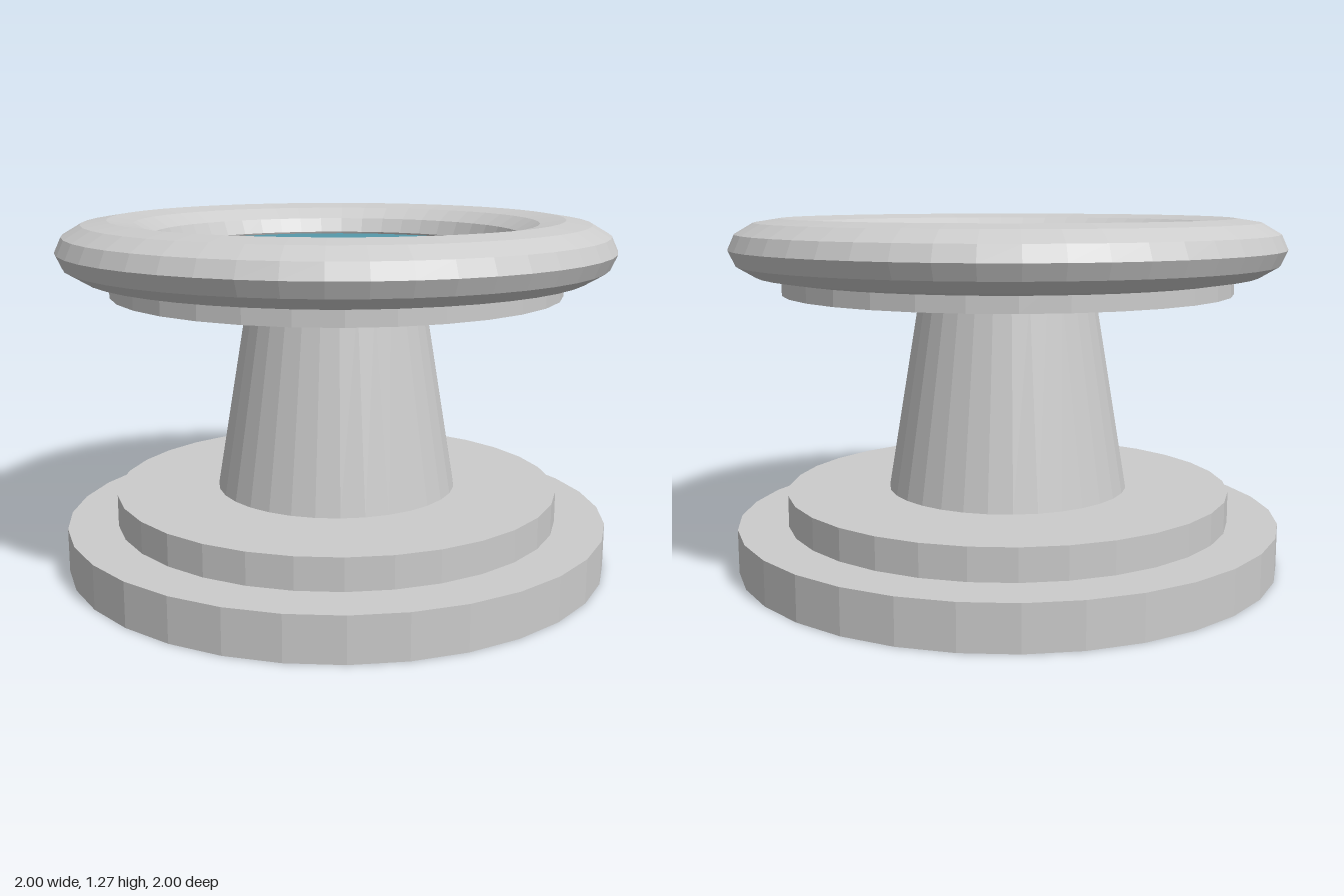
import * as THREE from 'three';

const SIDES = 32;
const stone = new THREE.MeshStandardMaterial({ color: 0xcccccc, flatShading: true });
const blue = new THREE.MeshStandardMaterial({ color: 0x5599aa });

export function createModel() {
  const group = new THREE.Group();

  const add = (name, geometry, y, material = stone) => {
    const mesh = new THREE.Mesh(geometry, material);
    mesh.name = name;
    mesh.position.y = y;
    group.add(mesh);
    return mesh;
  };

  // Round tier standing between two heights
  const tier = (name, rTop, rBottom, y0, y1) =>
    add(name, new THREE.CylinderGeometry(rTop, rBottom, y1 - y0, SIDES), (y0 + y1) / 2);

  // Stepped base, tapered pedestal and basin floor
  tier('baseStep', 1, 1, 0, 0.16);
  tier('upperStep', 0.818, 0.818, 0.16, 0.275);
  tier('pedestal', 0.322, 0.443, 0.275, 1.0);
  tier('basin', 0.818, 0.818, 1.0, 1.13);

  // Flattened ring forming the basin rim
  const ring = new THREE.TorusGeometry(0.818, 0.182, 12, 48);
  ring.rotateX(-Math.PI / 2);
  ring.scale(1, 0.59, 1);
  add('basinRim', ring, 1.162);

  // Water surface inside the rim
  const disc = new THREE.CircleGeometry(0.645, 48);
  disc.rotateX(-Math.PI / 2);
  add('water', disc, 1.155, blue);

  return group;
}
